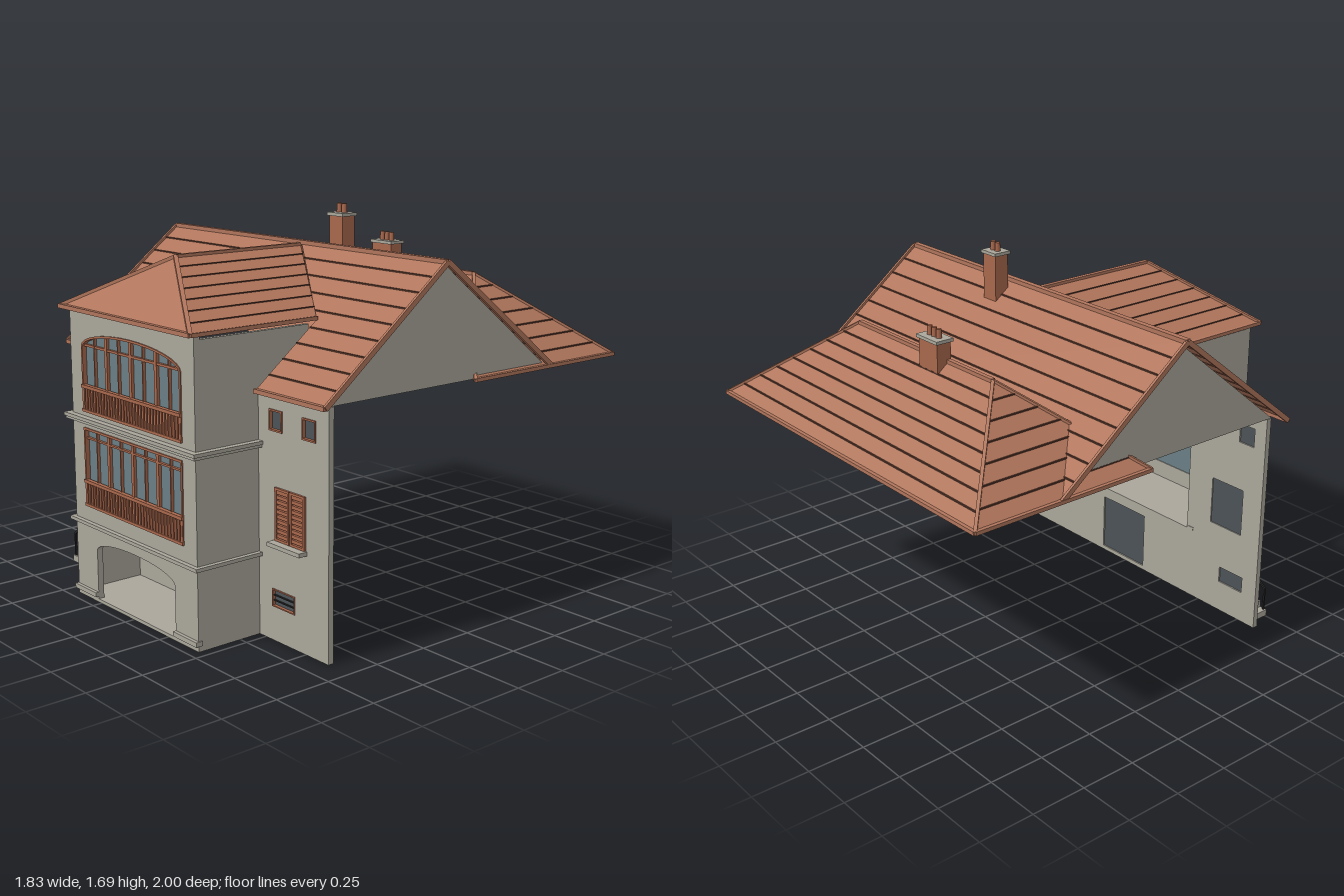
import * as THREE from 'three';

const V = (x, y, z) => new THREE.Vector3(x, y, z);

export function createModel() {
  const root = new THREE.Group();
  root.name = 'house';
  const mat = (name, color, side = THREE.FrontSide) => {
    const m = new THREE.MeshStandardMaterial({ color, side });
    m.name = name;
    return m;
  };
  const wall = mat('plaster', 0xaaa69b);
  const roof = mat('roofTile', 0xb0755b, THREE.DoubleSide);
  const seam = mat('tileShadow', 0x5c3a2e);
  const wood = mat('wood', 0xa8674c);
  const glass = mat('windowGlass', 0x6a7d84);
  const dark = mat('darkGlass', 0x4b5255);
  const iron = mat('iron', 0x262626);

  const add = (name, geo, m, x = 0, y = 0, z = 0, parent = root) => {
    const o = new THREE.Mesh(geo, m);
    o.name = name;
    o.position.set(x, y, z);
    parent.add(o);
    return o;
  };
  // box given by its limits
  const box = (name, m, x0, x1, y0, y1, z0, z1) =>
    add(name, new THREE.BoxGeometry(x1 - x0, y1 - y0, z1 - z0), m, (x0 + x1) / 2, (y0 + y1) / 2, (z0 + z1) / 2);
  // bar between two points
  const beam = (name, m, a, b, w, h = w) => {
    const o = add(name, new THREE.BoxGeometry(w, h, a.distanceTo(b)), m);
    o.position.copy(a).add(b).multiplyScalar(0.5);
    o.lookAt(b);
    return o;
  };
  // flat polygon as a fan around its first point
  const panel = (name, m, pts) => {
    const tri = [];
    for (let i = 1; i < pts.length - 1; i++) tri.push(pts[0], pts[i], pts[i + 1]);
    const g = new THREE.BufferGeometry().setFromPoints(tri);
    g.computeVertexNormals();
    return add(name, g, m);
  };
  // tile courses between an eave (a-b) and a ridge (c-d)
  const courses = (a, b, c, d, n) => {
    for (let i = 1; i < n; i++) {
      const p = a.clone().lerp(c, i / n), q = b.clone().lerp(d, i / n);
      if (p.distanceTo(q) > 0.02) beam('tileCourse', seam, p, q, 0.006);
    }
  };
  const poly = (Type, pts) => new Type(pts.map(p => new THREE.Vector2(p[0], p[1])));
  const rect = (x0, x1, y0, y1) => poly(THREE.Path, [[x0, y0], [x1, y0], [x1, y1], [x0, y1]]);
  // rectangle with a shallow arched head
  const arch = (Type, x0, x1, y0, spring, top) => {
    const p = [[x0, y0], [x1, y0]];
    for (let i = 0; i <= 16; i++) {
      const t = (i / 16) * Math.PI;
      p.push([(x0 + x1) / 2 + Math.cos(t) * (x1 - x0) / 2, spring + Math.sin(t) * (top - spring)]);
    }
    return poly(Type, p);
  };
  const extrude = (shape, depth) => new THREE.ExtrudeGeometry(shape, { depth, bevelEnabled: false });
  const frame = (x0, x1, y0, y1, z0, z1, t) => {
    box('frame', wood, x0, x0 + t, y0, y1, z0, z1);
    box('frame', wood, x1 - t, x1, y0, y1, z0, z1);
    box('frame', wood, x0 + t, x1 - t, y0, y0 + t, z0, z1);
    box('frame', wood, x0 + t, x1 - t, y1 - t, y1, z0, z1);
  };

  // Long front wall, open behind the upper bay
  const shutters = [[-0.74, -0.555], [0.57, 0.75]];
  const smalls = [[-0.785, -0.7], [-0.585, -0.505], [0.53, 0.61], [0.73, 0.81]];
  const cellars = [[-0.765, -0.625], [0.545, 0.685]];
  const front = poly(THREE.Shape, [[-0.85, 0], [0.885, 0], [0.885, 1.02], [0.46, 1.02], [0.46, 0.34],
    [-0.43, 0.34], [-0.43, 1.02], [-0.85, 1.02]]);
  for (const [a, b] of shutters) front.holes.push(rect(a, b, 0.425, 0.645));
  for (const [a, b] of smalls) front.holes.push(rect(a, b, 0.868, 0.955));
  for (const [a, b] of cellars) front.holes.push(rect(a, b, 0.145, 0.22));
  front.holes.push(rect(-0.125, 0.16, 0.02, 0.288));
  add('frontWall', extrude(front, 0.025), wall, 0, 0, 0.625);

  // Windows of the front wall
  for (const [a, b] of shutters) {
    box('shutterBack', dark, a, b, 0.425, 0.645, 0.63, 0.638);
    const mid = (a + b) / 2;
    for (const [l, r] of [[a, mid - 0.002], [mid + 0.002, b]]) {
      frame(l, r, 0.427, 0.645, 0.64, 0.66, 0.01);
      for (let i = 0; i < 10; i++) {
        const y = 0.441 + i * 0.0198;
        box('louvre', wood, l + 0.01, r - 0.01, y, y + 0.014, 0.642, 0.656);
      }
    }
    box('sill', wall, a - 0.012, b + 0.006, 0.408, 0.425, 0.63, 0.69);
  }
  for (const [a, b] of smalls) {
    box('smallPane', dark, a, b, 0.868, 0.955, 0.632, 0.64);
    frame(a, b, 0.868, 0.955, 0.64, 0.655, 0.007);
  }
  for (const [a, b] of cellars) {
    box('cellarPane', dark, a, b, 0.145, 0.22, 0.632, 0.64);
    frame(a, b, 0.145, 0.22, 0.64, 0.654, 0.005);
    for (const y of [0.168, 0.19]) box('cellarBar', iron, a, b, y, y + 0.005, 0.643, 0.649);
  }

  // Glazed porch door
  box('doorGlass', dark, -0.125, 0.16, 0.02, 0.288, 0.632, 0.64);
  frame(-0.125, 0.16, 0.02, 0.288, 0.64, 0.66, 0.012);
  for (let i = 1; i < 4; i++) {
    const x = -0.125 + i * 0.285 / 4;
    box('doorStile', wood, x - 0.005, x + 0.005, 0.02, 0.288, 0.64, 0.656);
  }
  for (const y of [0.045, 0.1, 0.16, 0.225]) box('doorRail', wood, -0.125, 0.16, y, y + 0.005, 0.64, 0.654);

  // Bay: front with porch arch and two glazed storeys
  const L = -0.34, R = 0.375;
  const bay = poly(THREE.Shape, [[-0.43, 0], [0.46, 0], [0.46, 1.27], [-0.43, 1.27]]);
  bay.holes.push(arch(THREE.Path, -0.27, 0.305, 0.015, 0.235, 0.288));
  bay.holes.push(rect(L, R, 0.42, 0.765));
  bay.holes.push(arch(THREE.Path, L, R, 0.835, 1.115, 1.19));
  add('bayFront', extrude(bay, 0.027), wall, 0, 0, 0.93);
  const side = poly(THREE.Shape, [[-0.935, 0], [-0.625, 0], [-0.625, 1.02], [-0.39, 1.02], [-0.39, 1.25], [-0.935, 1.25]]);
  for (const x of [-0.43, 0.44]) add('baySide', extrude(side, 0.02), wall, x).rotation.y = Math.PI / 2;
  box('porchFloor', wall, -0.43, 0.46, 0, 0.015, 0.64, 0.955);
  box('bayFloor', wall, -0.42, 0.45, 0.325, 0.34, 0.63, 0.94);

  // Belts and plinths around the bay
  const belt = (y0, y1, out) => {
    box('belt', wall, -0.43 - out, 0.46 + out, y0, y1, 0.95, 0.957 + out);
    box('belt', wall, -0.43 - out, -0.42, y0, y1, 0.622, 0.955);
    box('belt', wall, 0.45, 0.46 + out, y0, y1, 0.622, 0.955);
  };
  belt(0.338, 0.353, 0.02);
  belt(0.788, 0.8, 0.022);
  belt(0.8, 0.815, 0.028);
  for (const [a, b] of [[-0.435, -0.27], [0.305, 0.465]]) box('plinth', wall, a, b, 0.025, 0.045, 0.94, 0.972);

  // Bay glazing, mullions and balustrades
  add('upperGlass', extrude(arch(THREE.Shape, L, R, 0.835, 1.115, 1.19), 0.008), glass, 0, 0, 0.934);
  box('lowerGlass', glass, L, R, 0.42, 0.765, 0.934, 0.942);
  frame(L, R, 0.42, 0.765, 0.942, 0.962, 0.01);
  const rim = arch(THREE.Shape, L, R, 0.835, 1.115, 1.19);
  rim.holes.push(arch(THREE.Path, L + 0.01, R - 0.01, 0.845, 1.112, 1.18));
  add('archFrame', extrude(rim, 0.02), wood, 0, 0, 0.942);
  for (let i = 1; i < 8; i++) {
    const u = i / 4 - 1, x = (L + R) / 2 + u * (R - L) / 2, w = i % 2 ? 0.003 : 0.009;
    box('mullion', wood, x - w, x + w, 0.425, 0.76, 0.94, 0.955);
    box('mullion', wood, x - w, x + w, 0.84, 1.112 + 0.072 * Math.sqrt(1 - u * u), 0.94, 0.955);
  }
  box('transom', wood, L, R, 0.715, 0.723, 0.94, 0.954);
  box('transom', wood, L, R, 1.115, 1.125, 0.94, 0.954);
  for (const y of [0.42, 0.835]) {
    box('topRail', wood, L, R, y + 0.103, y + 0.117, 0.948, 0.968);
    box('bottomRail', wood, L, R, y, y + 0.012, 0.948, 0.966);
    for (let i = 0; i < 34; i++) {
      const x = L + (i + 0.5) * (R - L) / 34;
      box('baluster', wood, x - 0.006, x + 0.006, y + 0.01, y + 0.105, 0.953, 0.963);
    }
  }

  // Outside stair with iron railing
  const steps = 9, run = 0.34 / steps;
  for (let i = 0; i < steps; i++)
    box('step', wall, -0.81 + i * run, -0.81 + (i + 1) * run, 0, (i + 1) * 0.03, 0.65, 0.757);
  beam('handrail', iron, V(-0.8, 0.135, 0.748), V(-0.485, 0.38, 0.748), 0.009);
  for (let i = 0; i < 5; i++) {
    const x = -0.797 + i * 0.077, y = 0.137 + i * 0.06;
    box('railPost', iron, x - 0.004, x + 0.004, y - 0.122, y, 0.744, 0.752);
  }

  // Main roof, its front slope cut open under the bay roof
  const X0 = -0.912, X1 = 0.903, ry = 1.515, rz = 0.055, ez = 0.685, bz = -0.58, ey = 1.022;
  const slopeY = z => ry - (z - rz) * (ry - ey) / (ez - rz);
  const vz = 0.37, mid = 0.015;
  for (const [x, v] of [[X0, -0.455], [X1, 0.485]]) {
    const P = (px, z) => V(px, slopeY(z), z);
    const pts = [P(x, rz), P(x, ez), P(v, ez), P(v, vz), P(mid, rz)];
    panel('mainRoofFront', roof, x < 0 ? pts : [pts[0], ...pts.slice(1).reverse()]);
    for (let i = 1; i < 9; i++) {
      const z = ez + (rz - ez) * i / 9;
      const end = z > vz ? v : v + (mid - v) * (vz - z) / (vz - rz);
      beam('tileCourse', seam, P(x, z), P(end, z), 0.006);
    }
    beam('eave', roof, V(x, ey, ez), V(v, ey, ez), 0.018);
    beam('verge', roof, V(x, ey, ez), V(x, ry, rz), 0.012, 0.022);
    beam('verge', roof, V(x, ey, bz), V(x, ry, rz), 0.012, 0.022);
  }
  const backEave = [V(X0, ey, bz), V(X1, ey, bz)], ridge = [V(X0, ry, rz), V(X1, ry, rz)];
  panel('mainRoofBack', roof, [ridge[0], ridge[1], backEave[1], backEave[0]]);
  courses(...backEave, ...ridge, 9);
  beam('eave', roof, ...backEave, 0.016);
  beam('ridgeCap', roof, ...ridge, 0.026, 0.018);

  // Gable walls
  const gable = poly(THREE.Shape, [[-0.65, 1.022], [0.56, 1.022], [-rz, ry - 0.012]]);
  for (const x of [-0.85, 0.865]) add('gableWall', extrude(gable, 0.02), wall, x).rotation.y = Math.PI / 2;

  // Hipped bay roof
  const by = 1.275, bx = [-0.455, 0.485];
  const apex = V(mid, 1.505, 0.72), tail = V(mid, 1.505, 0.06);
  const c = bx.map(x => V(x, by, 0.99)), k = bx.map(x => V(x, by, vz));
  panel('bayRoofFront', roof, [apex, c[0], c[1]]);
  panel('bayRoofLeft', roof, [apex, c[1], k[1], tail]);
  panel('bayRoofRight', roof, [apex, tail, k[0], c[0]]);
  beam('eave', roof, c[0], c[1], 0.018);
  for (const i of [0, 1]) {
    courses(c[i], k[i], apex, tail, 7);
    beam('eave', roof, c[i], k[i], 0.016);
    beam('hipCap', roof, c[i], apex, 0.018, 0.016);
  }
  beam('ridgeCap', roof, apex, tail, 0.02, 0.016);

  // Rear hipped roof
  const hy = 1.37, hz = -0.555;
  const e = [V(X0, ey, -0.992), V(X1, ey, -0.992), V(X1, ey, -0.115), V(X0, ey, -0.115)];
  const h = [V(-0.465, hy, hz), V(0.465, hy, hz)];
  panel('rearRoofBack', roof, [e[1], e[0], h[0], h[1]]);
  panel('rearRoofFront', roof, [e[3], e[2], h[1], h[0]]);
  panel('rearRoofLeft', roof, [e[2], e[1], h[1]]);
  panel('rearRoofRight', roof, [e[0], e[3], h[0]]);
  courses(e[0], e[1], h[0], h[1], 8);
  courses(e[1], e[2], h[1], h[1], 7);
  courses(e[3], e[0], h[0], h[0], 7);
  for (let i = 0; i < 4; i++) {
    if (i !== 2) beam('eave', roof, e[i], e[(i + 1) % 4], 0.016);
    beam('hipCap', roof, e[i], h[i === 0 || i === 3 ? 0 : 1], 0.014);
  }
  beam('ridgeCap', roof, h[0], h[1], 0.02, 0.016);

  // Chimneys with stone caps and clay pots
  const chimney = (x, z, w, y0, y1, pots) => {
    box('chimneyShaft', wood, x - w, x + w, y0, y1, z - 0.034, z + 0.034);
    box('chimneyCap', wall, x - w - 0.008, x + w + 0.008, y1, y1 + 0.014, z - 0.042, z + 0.042);
    for (let i = 0; i < pots; i++)
      add('chimneyPot', new THREE.CylinderGeometry(0.011, 0.013, 0.04, 12), wood,
        x + (i - (pots - 1) / 2) * 0.03, y1 + 0.032, z);
  };
  chimney(0.2, -0.015, 0.042, 1.4, 1.638, 2);
  chimney(-0.116, -0.578, 0.062, 1.3, 1.452, 3);

  return root;
}
